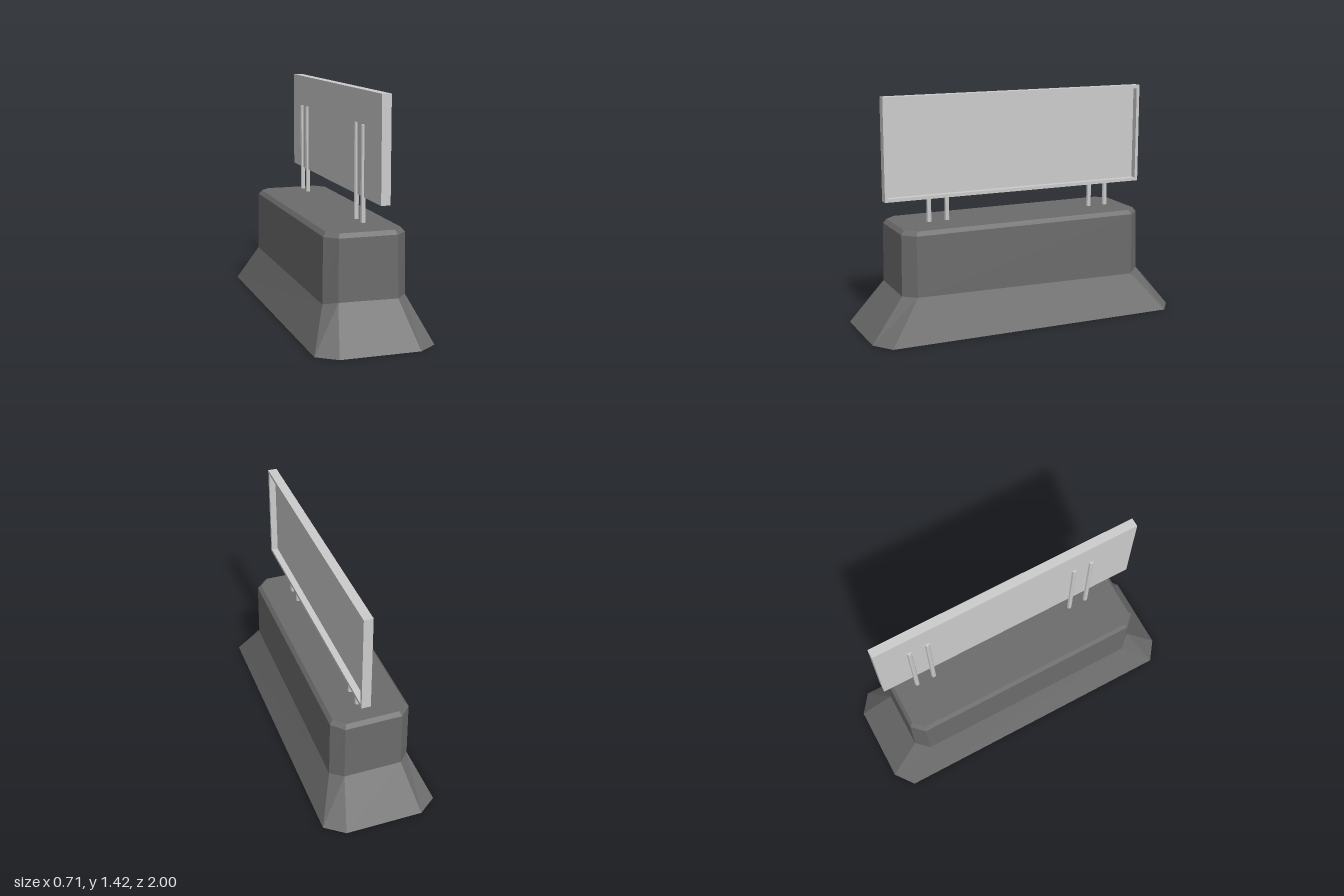
import * as THREE from 'three';

const grey = new THREE.MeshStandardMaterial({ color: 0xcccccc, flatShading: true });
const dark = new THREE.MeshStandardMaterial({ color: 0x6b6b6b, flatShading: true });

// Octagon with chamfered corners: half width X, half length Z, chamfer starts at cx / cz.
// ys gives the height of each of the eight corners.
function octagon(X, Z, cx, cz, ys) {
  const pts = [[X, cz], [X, -cz], [cx, -Z], [-cx, -Z], [-X, -cz], [-X, cz], [-cx, Z], [cx, Z]];
  return pts.map(([x, z], i) => [x, Array.isArray(ys) ? ys[i] : ys, z]);
}

// Flat-sided solid through a stack of rings, closed at both ends
function loft(rings) {
  const v = [];
  const tri = (a, b, c) => v.push(...a, ...b, ...c);
  const n = rings[0].length;
  for (let r = 0; r < rings.length - 1; r++) {
    for (let i = 0; i < n; i++) {
      const j = (i + 1) % n, lo = rings[r], hi = rings[r + 1];
      tri(lo[i], lo[j], hi[j]);
      tri(lo[i], hi[j], hi[i]);
    }
  }
  const bottom = rings[0], top = rings[rings.length - 1];
  for (let i = 1; i < n - 1; i++) {
    tri(top[0], top[i], top[i + 1]);
    tri(bottom[0], bottom[i + 1], bottom[i]);
  }
  const g = new THREE.BufferGeometry();
  g.setAttribute('position', new THREE.Float32BufferAttribute(v, 3));
  g.computeVertexNormals();
  return g;
}

function rect(path, w, h) {
  path.moveTo(-w / 2, -h / 2);
  path.lineTo(w / 2, -h / 2);
  path.lineTo(w / 2, h / 2);
  path.lineTo(-w / 2, h / 2);
  path.closePath();
  return path;
}

export function createModel() {
  const model = new THREE.Group();
  const add = (name, geometry, material, x = 0, y = 0, z = 0, parent = model) => {
    const mesh = new THREE.Mesh(geometry, material);
    mesh.name = name;
    mesh.position.set(x, y, z);
    parent.add(mesh);
    return mesh;
  };

  // Plinth: flared skirt, upright body with a slightly uneven waist, bevelled top
  add('plinth', loft([
    octagon(0.357, 1, 0.24, 0.912, 0),
    octagon(0.25, 0.795, 0.18, 0.72, [0.257, 0.237, 0.257, 0.257, 0.25, 0.237, 0.26, 0.255]),
    octagon(0.245, 0.79, 0.175, 0.72, 0.625),
    octagon(0.225, 0.77, 0.165, 0.705, 0.65),
  ]), dark);

  // Sign: a back panel and a raised frame, open towards +x
  const sign = new THREE.Group();
  sign.name = 'sign';
  sign.position.set(0.045, 1.117, 0.01);
  model.add(sign);
  const length = 1.7, height = 0.616, rim = 0.02, back = 0.016, depth = 0.056;
  add('signPanel', new THREE.BoxGeometry(back, height, length), grey, back / 2, 0, 0, sign);
  const outline = rect(new THREE.Shape(), length, height);
  outline.holes.push(rect(new THREE.Path(), length - 2 * rim, height - 2 * rim));
  const frame = new THREE.ExtrudeGeometry(outline, { depth: depth - back, bevelEnabled: false });
  frame.rotateY(Math.PI / 2);
  add('signFrame', frame, grey, back, 0, 0, sign);

  // Two pairs of posts behind the sign
  for (const z of [0.57, 0.455, -0.515, -0.63]) {
    add('post', new THREE.CylinderGeometry(0.015, 0.015, 0.57, 8), grey, 0.045, 0.945, z);
  }
  return model;
}
